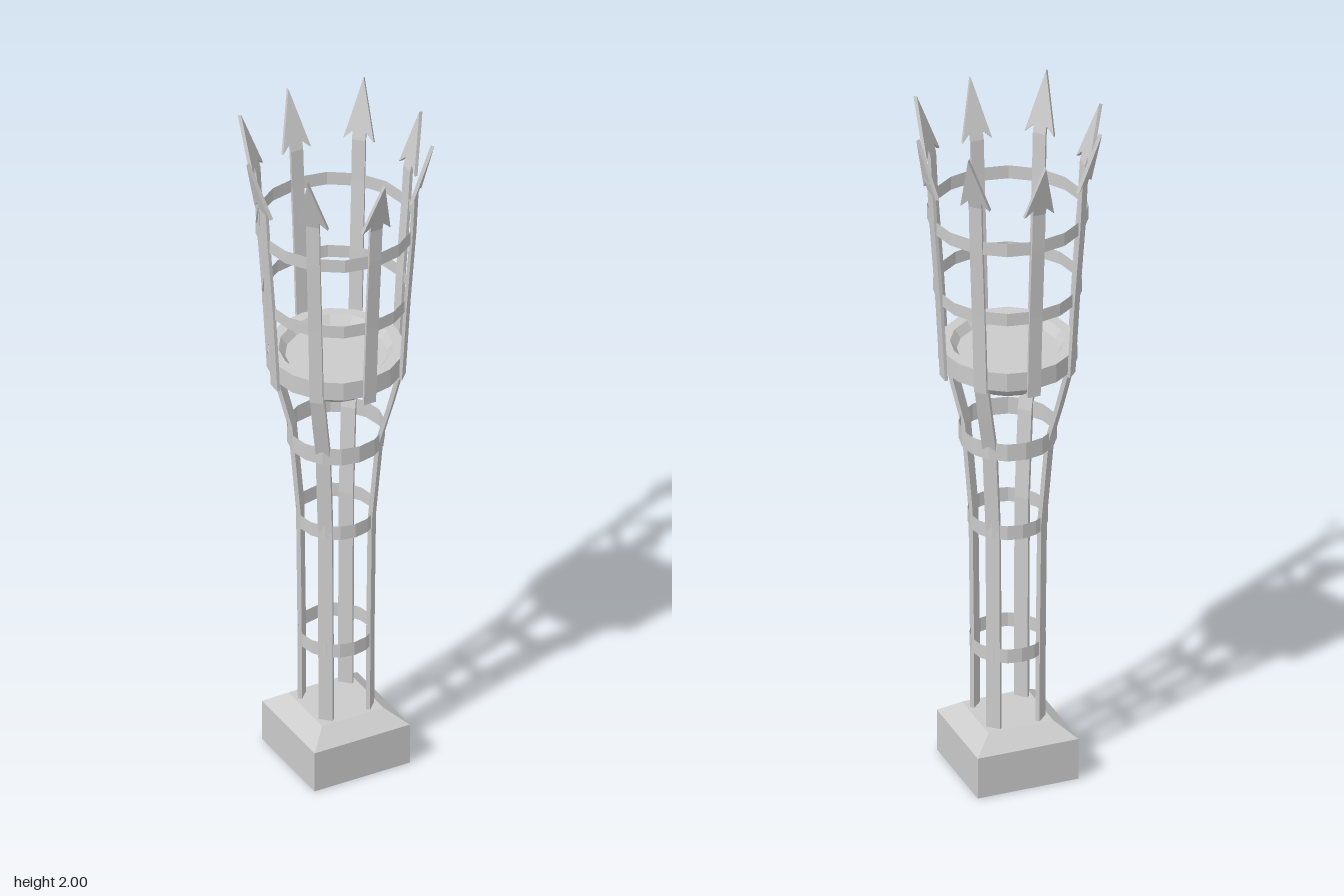
import * as THREE from 'three';

const metal = new THREE.MeshStandardMaterial({ color: 0xcccccc, flatShading: true, side: THREE.DoubleSide });

function mesh(geometry, name) {
  const m = new THREE.Mesh(geometry, metal);
  m.name = name;
  return m;
}

// Flat bar: follows [radius, height] points, width runs sideways
function barGeometry(path, width, thickness) {
  const h = thickness / 2;
  const inner = path.map(([r, y]) => new THREE.Vector2(r - h, y));
  const outer = path.map(([r, y]) => new THREE.Vector2(r + h, y)).reverse();
  const g = new THREE.ExtrudeGeometry(new THREE.Shape([...inner, ...outer]), { depth: width, bevelEnabled: false });
  return g.translate(0, 0, -width / 2);
}

// Barbed arrowhead, leaning outward from [r0, y0] to its tip [r1, y1]
function arrowGeometry(r0, y0, r1, y1) {
  const length = Math.hypot(r1 - r0, y1 - y0);
  const shape = new THREE.Shape([[-0.043, 0], [-0.017, 0.026], [0.017, 0.026], [0.043, 0], [0, length]]
    .map(([x, y]) => new THREE.Vector2(x, y)));
  const g = new THREE.ExtrudeGeometry(shape, { depth: 0.01, bevelEnabled: false });
  g.translate(0, 0, -0.005).rotateY(Math.PI / 2);
  return g.rotateZ(-Math.atan2(r1 - r0, y1 - y0)).translate(r0, y0, 0);
}

export function createModel() {
  const model = new THREE.Group();
  model.name = 'basketTorch';
  model.position.set(0.007, 0, -0.001);

  // Square foot with a sloped top
  model.add(mesh(new THREE.BoxGeometry(0.292, 0.122, 0.292).translate(0, 0.061, 0), 'footBlock'));
  const slope = new THREE.CylinderGeometry(0.094 * Math.SQRT2, 0.146 * Math.SQRT2, 0.041, 4);
  model.add(mesh(slope.rotateY(Math.PI / 4).translate(0, 0.1425, 0), 'footSlope'));

  // Four legs on the diagonals, flaring out to the bowl
  const legPath = [[0.095, 0.15], [0.096, 0.4], [0.1, 0.77], [0.122, 1.03], [0.152, 1.14], [0.18, 1.255]];
  const legGeometry = barGeometry(legPath, 0.04, 0.012);
  for (let i = 0; i < 4; i++) {
    const leg = mesh(legGeometry, 'leg');
    leg.rotation.y = Math.PI / 4 + i * Math.PI / 2;
    model.add(leg);
  }

  // Thin hoops: radius, centre height, band height
  const hoops = [
    [0.103, 0.388, 0.042], [0.108, 0.77, 0.043], [0.132, 1.03, 0.052],
    [0.187, 1.27, 0.042], [0.2, 1.477, 0.038], [0.217, 1.7, 0.04],
  ];
  for (const [radius, y, height] of hoops) {
    const band = new THREE.CylinderGeometry(radius, radius, height, 16, 1, true);
    model.add(mesh(band.translate(0, y, 0), 'hoop'));
  }

  // Fire bowl with a flat rim and a shallow floor
  const bowlProfile = [
    [0, 1.155], [0.05, 1.165], [0.1, 1.187], [0.142, 1.222], [0.17, 1.262], [0.18, 1.285],
    [0.185, 1.285], [0.185, 1.303], [0.155, 1.303], [0.137, 1.28], [0, 1.28],
  ].map(([r, y]) => new THREE.Vector2(r, y));
  model.add(mesh(new THREE.LatheGeometry(bowlProfile, 16), 'bowl'));

  // Eight basket bars tipped with arrowheads; the diagonal ones stand a little higher
  for (let i = 0; i < 8; i++) {
    const lift = i % 2 ? 0.022 : 0;
    const tip = i === 0 ? 0.26 : 0.27;
    const spike = new THREE.Group();
    spike.name = 'spike';
    const path = [[0.185, 1.227 + lift / 2], [0.199, 1.48], [0.215, 1.7], [0.221, 1.805 + lift], [0.231, 1.84 + lift]];
    spike.add(mesh(barGeometry(path, 0.037, 0.009), 'spikeBar'));
    spike.add(mesh(arrowGeometry(0.221, 1.803 + lift, tip, 1.974 + lift), 'arrowhead'));
    spike.rotation.y = i * Math.PI / 4;
    model.add(spike);
  }

  return model;
}
